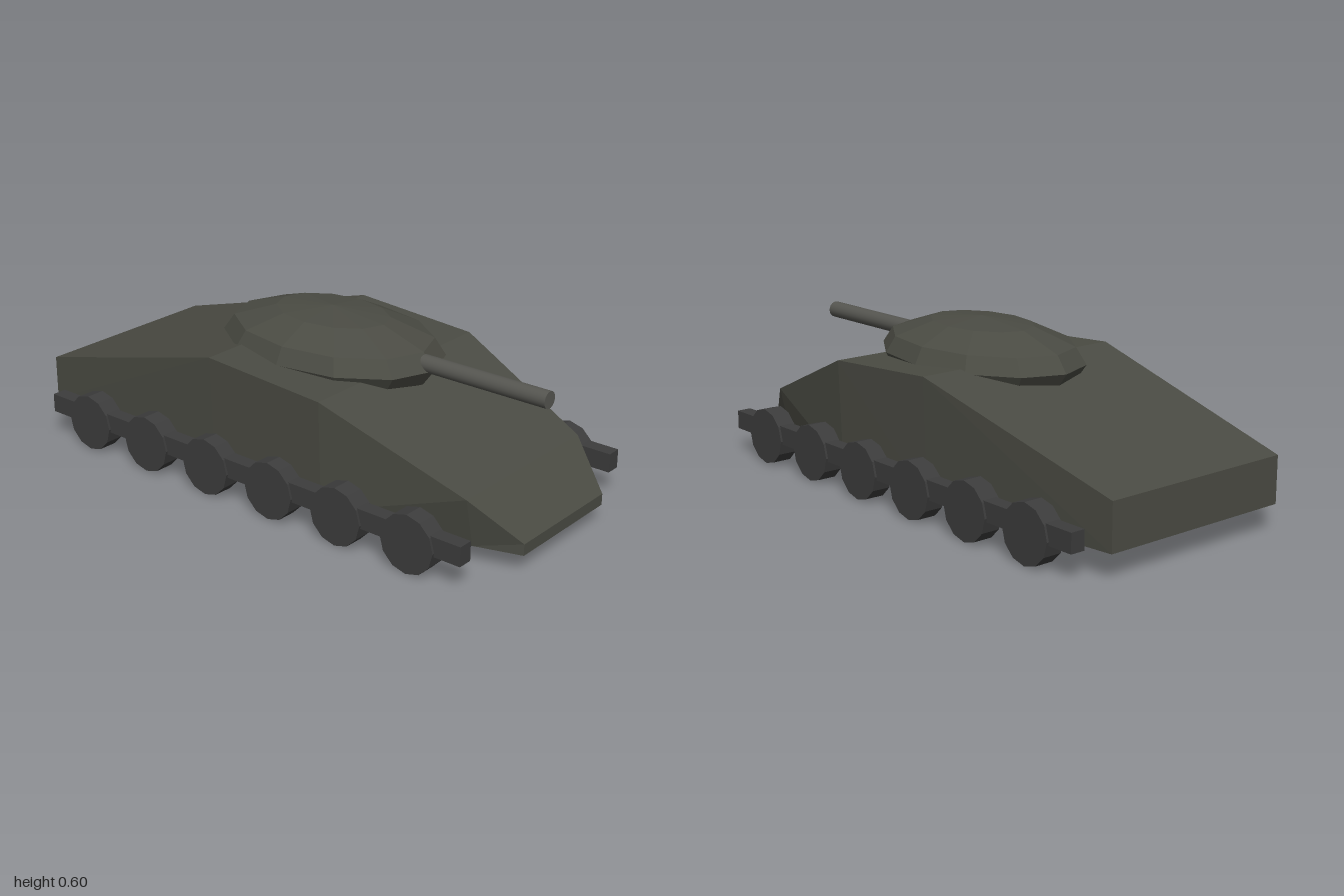
import * as THREE from 'three';

const paint = (color) => new THREE.MeshStandardMaterial({ color, flatShading: true });

// Loft four-cornered sections [z, bottomHalfWidth, topHalfWidth, bottomY, topY], front to back
function hullGeometry(sections) {
  const rings = sections.map(([z, b, t, y0, y1]) => [[-b, y0, z], [b, y0, z], [t, y1, z], [-t, y1, z]]);
  const pos = [];
  const tri = (...corners) => corners.forEach((c) => pos.push(...c));
  for (let i = 0; i < rings.length - 1; i++) {
    const a = rings[i], b = rings[i + 1];
    for (let j = 0; j < 4; j++) {
      const k = (j + 1) % 4;
      if (j === 3) {
        // Mirrored diagonal so both flanks match
        tri(a[j], b[j], b[k]);
        tri(a[j], b[k], a[k]);
      } else {
        tri(a[j], b[j], a[k]);
        tri(b[j], b[k], a[k]);
      }
    }
  }
  const f = rings[0], r = rings[rings.length - 1];
  tri(f[0], f[1], f[2]); tri(f[0], f[2], f[3]);
  tri(r[0], r[2], r[1]); tri(r[0], r[3], r[2]);
  const geo = new THREE.BufferGeometry();
  geo.setAttribute('position', new THREE.Float32BufferAttribute(pos, 3));
  geo.computeVertexNormals();
  return geo;
}

export function createModel() {
  const model = new THREE.Group();
  model.name = 'tank';
  const bodyPaint = paint(0x4a4b43);
  const wheelPaint = paint(0x3c3c3c);
  const add = (name, geo, mat, x, y, z, parent = model) => {
    const mesh = new THREE.Mesh(geo, mat);
    mesh.name = name;
    mesh.position.set(x, y, z);
    parent.add(mesh);
    return mesh;
  };

  // Wedge-nosed hull
  add('hull', hullGeometry([
    [1, 0.23, 0.23, 0.065, 0.105],
    [0.84, 0.28, 0.32, 0.065, 0.24],
    [0.32, 0.4, 0.413, 0.065, 0.455],
    [-0.16, 0.4, 0.413, 0.065, 0.485],
    [-1, 0.37, 0.37, 0.095, 0.26],
  ]), bodyPaint, 0, 0, 0);

  // Flattened oval turret, partly sunk into the deck
  const profile = [[0, -0.133], [0.51, -0.113], [0.9, -0.058], [1, 0], [0.9, 0.058], [0.51, 0.113], [0, 0.133]]
    .map(([r, y]) => new THREE.Vector2(r, y));
  const turretGeo = new THREE.LatheGeometry(profile, 12);
  turretGeo.scale(0.295, 1, 0.435);
  add('turret', turretGeo, bodyPaint, 0, 0.472, 0.035);

  // Gun barrel
  const barrelGeo = new THREE.CylinderGeometry(0.03, 0.03, 0.62, 20);
  barrelGeo.rotateX(Math.PI / 2);
  add('gunBarrel', barrelGeo, new THREE.MeshStandardMaterial({ color: 0x555550 }), 0, 0.493, 0.61);

  // Running gear: one beam and six road wheels per side
  const wheelGeo = new THREE.CylinderGeometry(0.103, 0.103, 0.07, 12);
  wheelGeo.rotateZ(Math.PI / 2);
  const beamGeo = new THREE.BoxGeometry(0.054, 0.068, 1.84);
  for (const side of [1, -1]) {
    const gear = new THREE.Group();
    gear.name = side > 0 ? 'leftRunningGear' : 'rightRunningGear';
    add('beam', beamGeo, wheelPaint, side * 0.432, 0.127, 0, gear);
    for (let i = 0; i < 6; i++) {
      add('roadWheel', wheelGeo, wheelPaint, side * 0.432, 0.105, 0.72 - i * 0.288, gear);
    }
    model.add(gear);
  }
  return model;
}
